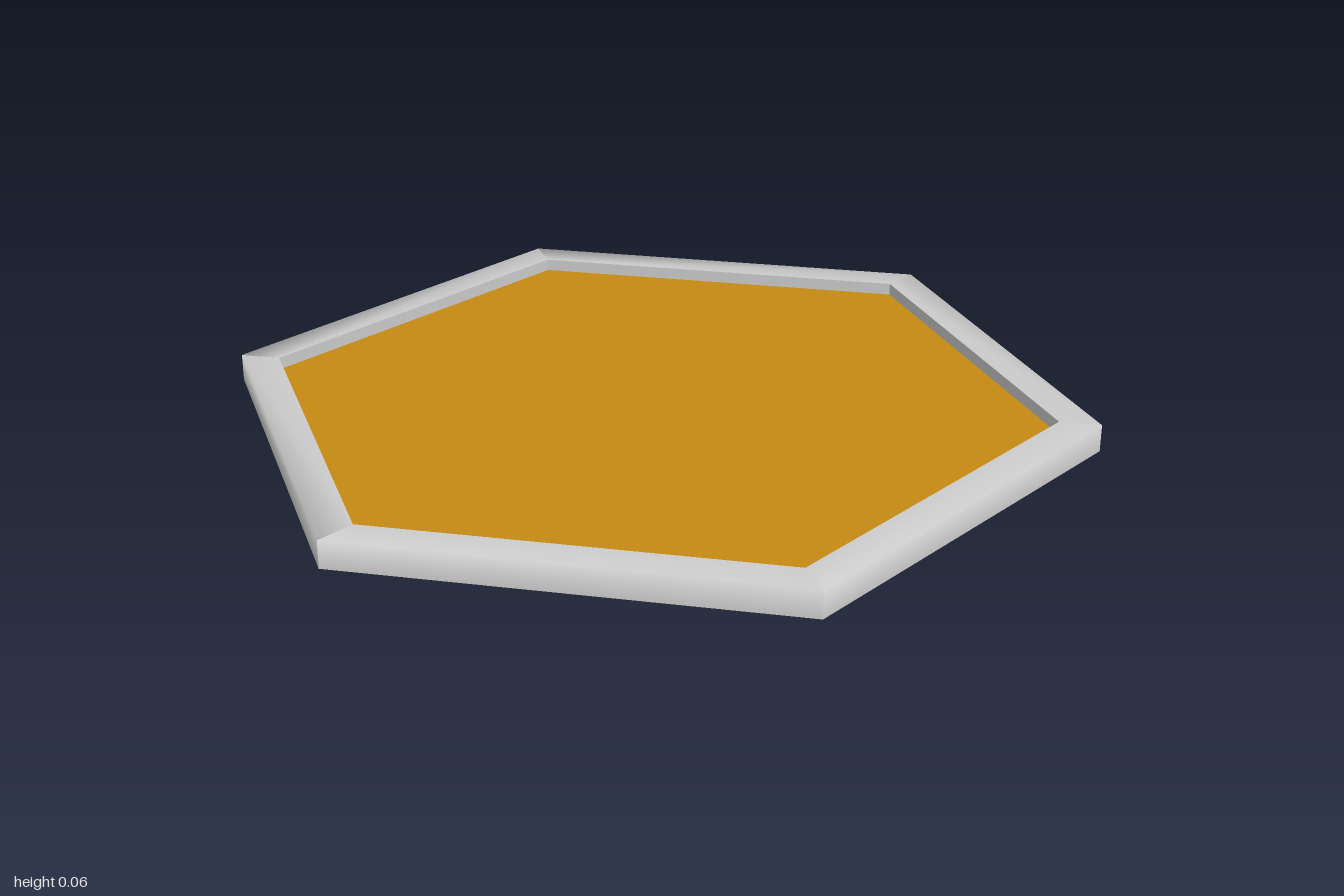
import * as THREE from 'three';

const SIDES = 6, OUTER = 1, INNER = 0.907, HEIGHT = 0.063, FLOOR_Y = 0.034;

// One straight side of the frame: a strip through [radius, y] rows,
// smooth along the profile and mitred at both ends.
function sideStrip(rows) {
  const positions = [], index = [];
  rows.forEach(([r, y], i) => {
    const x = r * Math.sin(Math.PI / SIDES), z = r * Math.cos(Math.PI / SIDES);
    positions.push(-x, y, z, x, y, z);
    const a = 2 * i;
    if (i < rows.length - 1) index.push(a, a + 1, a + 3, a, a + 3, a + 2);
  });
  const geometry = new THREE.BufferGeometry();
  geometry.setAttribute('position', new THREE.Float32BufferAttribute(positions, 3));
  geometry.setIndex(index);
  geometry.computeVertexNormals();
  return geometry;
}

export function createModel() {
  const model = new THREE.Group();
  model.name = 'hexagonalTray';
  const grey = new THREE.MeshStandardMaterial({ color: 0xcccccc });
  const amber = new THREE.MeshStandardMaterial({ color: 0xc48a12 });

  const add = (parent, name, geometry, material) => {
    const mesh = new THREE.Mesh(geometry, material);
    mesh.name = name;
    parent.add(mesh);
    return mesh;
  };

  // Frame: outer face blending into the top, and a crisp inner wall
  const rim = sideStrip([[OUTER, 0], [OUTER, HEIGHT], [INNER, HEIGHT]]);
  const wall = sideStrip([[INNER, HEIGHT], [INNER, FLOOR_Y]]);
  for (let i = 0; i < SIDES; i++) {
    const side = new THREE.Group();
    side.name = `frameSide${i + 1}`;
    side.rotation.y = (i * 2 * Math.PI) / SIDES;
    add(side, 'rim', rim, grey);
    add(side, 'innerWall', wall, grey);
    model.add(side);
  }

  // Recessed coloured floor
  const floor = add(model, 'floor', new THREE.CircleGeometry(INNER, SIDES), amber);
  floor.rotation.x = -Math.PI / 2;
  floor.position.y = FLOOR_Y;

  // Underside
  const base = add(model, 'base', new THREE.CircleGeometry(OUTER, SIDES), grey);
  base.rotation.x = Math.PI / 2;

  return model;
}
